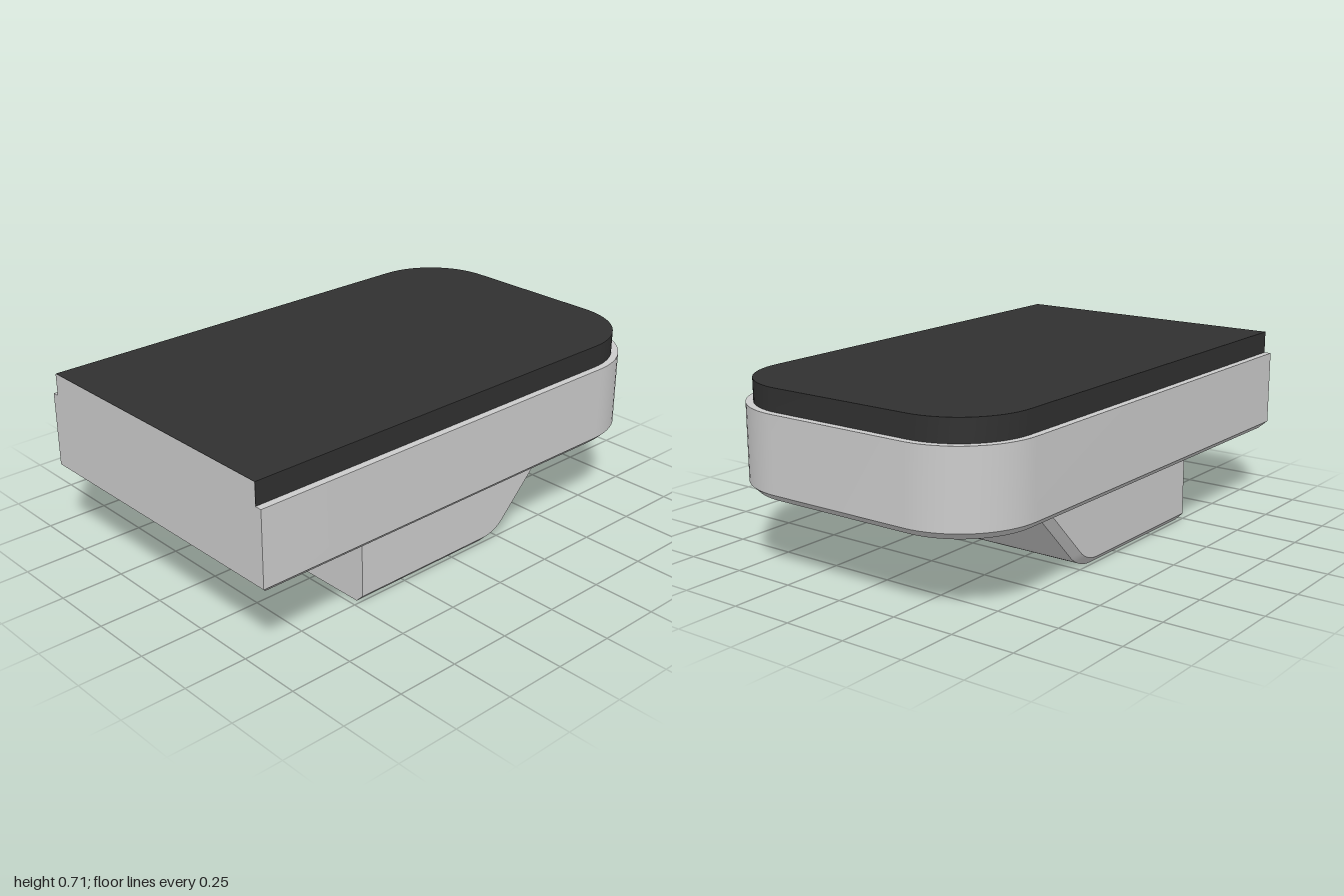
import * as THREE from 'three';
import { toCreasedNormals } from 'three/addons/utils/BufferGeometryUtils.js';

// Closed solid through convex counter-clockwise outlines, each { points, level }, in rising order
function loft(layers) {
  const n = layers[0].points.length;
  const positions = [], index = [];
  for (const { points, level } of layers) for (const [u, v] of points) positions.push(u, v, level);
  for (let k = 0; k < layers.length - 1; k++) {
    for (let i = 0; i < n; i++) {
      const a = k * n + i, b = k * n + (i + 1) % n;
      index.push(a, b, b + n, a, b + n, a + n);
    }
  }
  const top = (layers.length - 1) * n;
  for (let i = 1; i < n - 1; i++) {
    index.push(0, i + 1, i);
    index.push(top, top + i, top + i + 1);
  }
  const geometry = new THREE.BufferGeometry();
  geometry.setAttribute('position', new THREE.Float32BufferAttribute(positions, 3));
  geometry.setIndex(index);
  return toCreasedNormals(geometry, 0.4);
}

function arc(cx, cy, r, from, to, steps) {
  return Array.from({ length: steps + 1 }, (_, i) => {
    const a = THREE.MathUtils.degToRad(from + (to - from) * i / steps);
    return [cx + r * Math.cos(a), cy + r * Math.sin(a)];
  });
}

// Plan outline: square at the front, two rounded corners at the back
function planOutline(halfWidth, front, back, r) {
  const cx = halfWidth - r, cy = back - r;
  return [
    [-halfWidth, -front], [halfWidth, -front],
    ...arc(cx, cy, r, 0, 90, 16),
    ...arc(-cx, cy, r, 90, 180, 16),
  ];
}

// Side profile of the foot: flat sole bending into a 45 degree rear slope
function footProfile(inset) {
  return [
    [-0.475, 0.3], [-0.475, inset],
    ...arc(0.16, 0.18, 0.18 - inset, -90, -45, 10),
    [0.53 - inset * Math.SQRT2, 0.3],
  ];
}

export function createModel() {
  const group = new THREE.Group();
  const grey = new THREE.MeshStandardMaterial({ color: 0xcccccc });
  const dark = new THREE.MeshStandardMaterial({ color: 0x303030 });

  const add = (name, geometry, material) => {
    const mesh = new THREE.Mesh(geometry, material);
    mesh.name = name;
    group.add(mesh);
    return mesh;
  };

  // Main body with a chamfered lower edge
  const body = planOutline(0.615, 1, 1, 0.315);
  add('body', loft([
    { points: planOutline(0.588, 0.973, 0.973, 0.288), level: 0.298 },
    { points: body, level: 0.325 },
    { points: body, level: 0.62 },
  ]).rotateX(-Math.PI / 2), grey);

  // Dark top pad, set in from the sides and back
  const pad = planOutline(0.587, 0.999, 0.972, 0.287);
  add('topPad', loft([
    { points: pad, level: 0.62 },
    { points: pad, level: 0.708 },
  ]).rotateX(-Math.PI / 2), dark);

  // Grey end face of the pad, flush with the body front
  add('padFrontFace', new THREE.PlaneGeometry(1.174, 0.088), grey).position.set(0, 0.664, 1);

  // Foot underneath, chamfered along both sides
  const outer = footProfile(0), inner = footProfile(0.03);
  add('foot', loft([
    { points: inner, level: -0.513 },
    { points: outer, level: -0.483 },
    { points: outer, level: 0.483 },
    { points: inner, level: 0.513 },
  ]).rotateY(Math.PI / 2), grey);

  return group;
}
